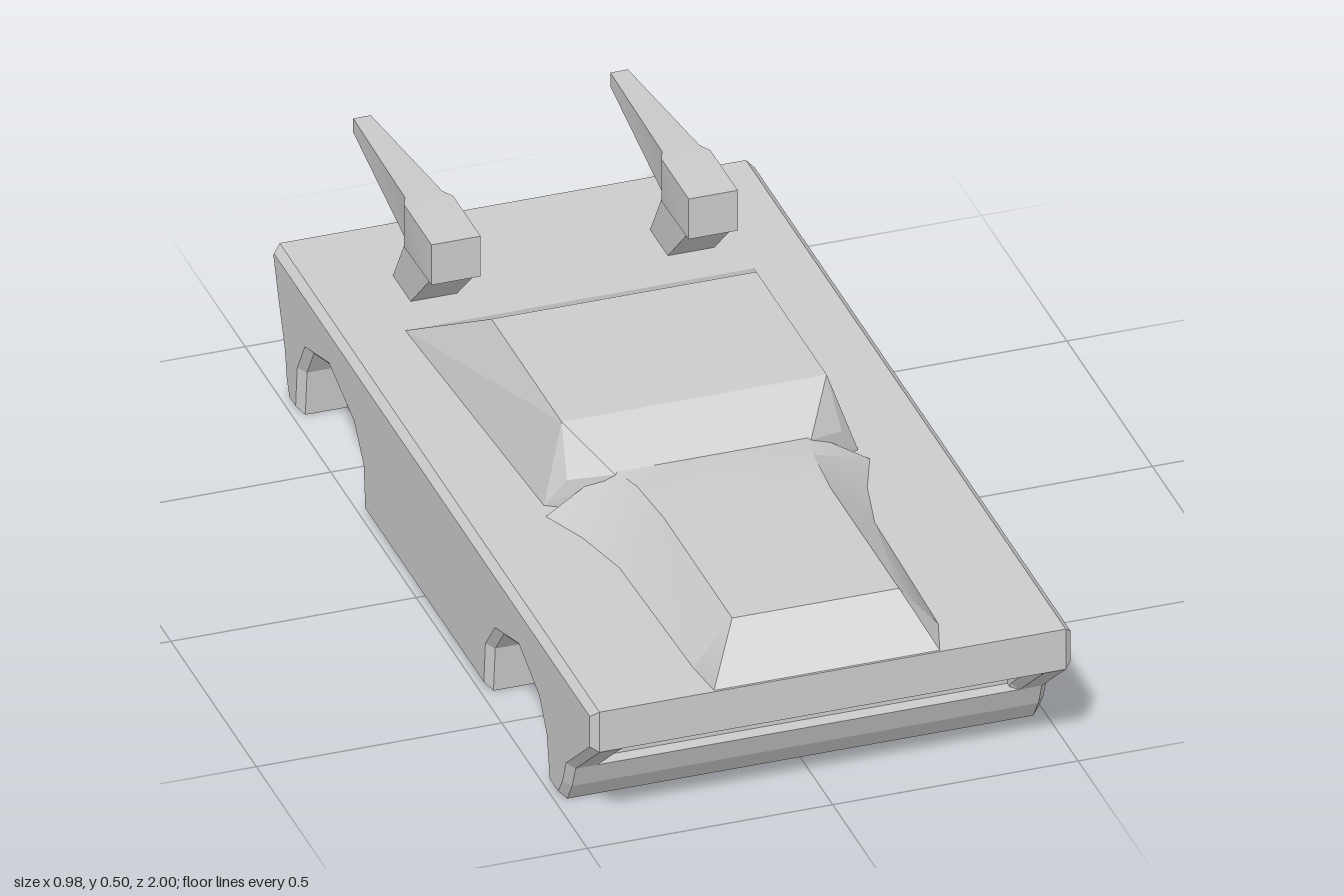
import * as THREE from 'three';
import { toCreasedNormals } from 'three/addons/utils/BufferGeometryUtils.js';
import { ConvexGeometry } from 'three/addons/geometries/ConvexGeometry.js';

const material = new THREE.MeshStandardMaterial({ color: 0xcccccc });

// Profile points are [z, y]
const FRONT_ARCH = [[0.74, 0], [0.72, 0.1], [0.68, 0.155], [0.57, 0.2], [0.44, 0.16], [0.39, 0.1], [0.38, 0]];
const REAR_ARCH = [[-0.34, 0], [-0.35, 0.1], [-0.40, 0.16], [-0.54, 0.205], [-0.67, 0.165], [-0.71, 0.1], [-0.72, 0]];
const SLOPED_NOSE = [[1, 0.21], [0.86, 0.095]];
const RECESSED_NOSE = [[1, 0.21], [0.83, 0.21], [0.83, 0.095], [0.86, 0.095]];
const TAIL = [[-0.78, 0], [-0.8, 0.045], [-0.81, 0.1], [-0.85, 0.2], [-0.88, 0.28], [-0.87, 0.3]];

// Lengthwise body slice between two x positions
function bodySlice(name, xMin, xMax, nose, arches, bevel = 0) {
  const points = [
    [1, 0.3], ...nose, [0.84, 0.045], [0.81, 0],
    ...(arches ? [...FRONT_ARCH, ...REAR_ARCH] : []), ...TAIL,
  ];
  const shape = new THREE.Shape(points.map(([z, y]) => new THREE.Vector2(z, y)));
  const geometry = new THREE.ExtrudeGeometry(shape, {
    depth: xMax - xMin - 2 * bevel,
    bevelEnabled: bevel > 0, bevelThickness: bevel, bevelSize: bevel, bevelOffset: -bevel, bevelSegments: 1,
  });
  geometry.rotateY(-Math.PI / 2).translate(xMax - bevel, 0, 0);
  return part(name, geometry);
}

function part(name, geometry) {
  const mesh = new THREE.Mesh(geometry, material);
  mesh.name = name;
  return mesh;
}

// Closed skin through equal-sized rings of [x, y, z] points
function loft(rings, crease) {
  const n = rings[0].length, last = (rings.length - 1) * n, index = [];
  for (let r = 0; r < rings.length - 1; r++) {
    for (let j = 0; j < n; j++) {
      const a = r * n + j, b = r * n + (j + 1) % n;
      index.push(a, a + n, b, a + n, b + n, b);
    }
  }
  for (let j = 1; j < n - 1; j++) index.push(0, j, j + 1, last, last + j + 1, last + j);
  const geometry = new THREE.BufferGeometry();
  geometry.setAttribute('position', new THREE.Float32BufferAttribute(rings.flat(2), 3));
  geometry.setIndex(index);
  return toCreasedNormals(geometry, crease);
}

export function createModel() {
  const model = new THREE.Group();

  // Body: solid core, then arch and fender slices on both sides
  model.add(bodySlice('bodyCore', -0.39, 0.39, RECESSED_NOSE, false));
  for (const [side, s] of [['left', 1], ['right', -1]]) {
    const slice = (name, inner, outer, nose, bevel) => model.add(bodySlice(
      side + name, Math.min(s * inner, s * outer), Math.max(s * inner, s * outer), nose, true, bevel));
    slice('InnerFender', 0.39, 0.43, RECESSED_NOSE, 0);
    slice('OuterFender', 0.415, 0.49, SLOPED_NOSE, 0.015);
  }

  // Hood bulge: [z, half top width, top height, half base width]
  const hood = [
    [0.995, 0.22, 0.3, 0.24], [0.9, 0.17, 0.395, 0.25], [0.5, 0.17, 0.395, 0.26],
    [0.37, 0.18, 0.395, 0.29], [0.27, 0.2, 0.385, 0.33],
  ].map(([z, t, y, b]) => [
    [-b, 0.28, z], [b, 0.28, z], [b, 0.3, z], [t, y, z], [0, y, z], [-t, y, z], [-b, 0.3, z],
  ]);
  model.add(part('hoodBulge', loft(hood, 0.7)));

  // Cabin: half of the corners, mirrored
  const corners = [
    [0.27, 0.455, 0.19], [0.27, 0.455, -0.22], [0.355, 0.3, -0.48], [0.355, 0.28, -0.48],
    [0.32, 0.3, 0.23], [0.32, 0.28, 0.23], [0.28, 0.36, 0.25], [0.2, 0.385, 0.3], [0.2, 0.28, 0.3],
  ].flatMap(([x, y, z]) => [new THREE.Vector3(x, y, z), new THREE.Vector3(-x, y, z)]);
  model.add(part('cabin', new ConvexGeometry(corners)));

  // Rear pods: tapered barrel on a swept-back post
  const barrel = [
    [-0.45, 0.05, 0.41, 0.5], [-0.61, 0.05, 0.405, 0.5], [-0.64, 0.038, 0.407, 0.497], [-1, 0.018, 0.437, 0.468],
  ].map(([z, w, y0, y1]) => [[-w, y0, z], [w, y0, z], [w, y1, z], [-w, y1, z]]);
  const post = [
    [0.42, 0.049, -0.455, -0.605], [0.29, 0.047, -0.59, -0.69],
  ].map(([y, w, z0, z1]) => [[-w, y, z0], [w, y, z0], [w, y, z1], [-w, y, z1]]);
  for (const [side, s] of [['left', 1], ['right', -1]]) {
    const pod = new THREE.Group();
    pod.name = side + 'RearPod';
    pod.add(part('podBarrel', loft(barrel, 0.5)), part('podPost', loft(post, 0.5)));
    pod.position.x = s * 0.262;
    model.add(pod);
  }
  return model;
}
